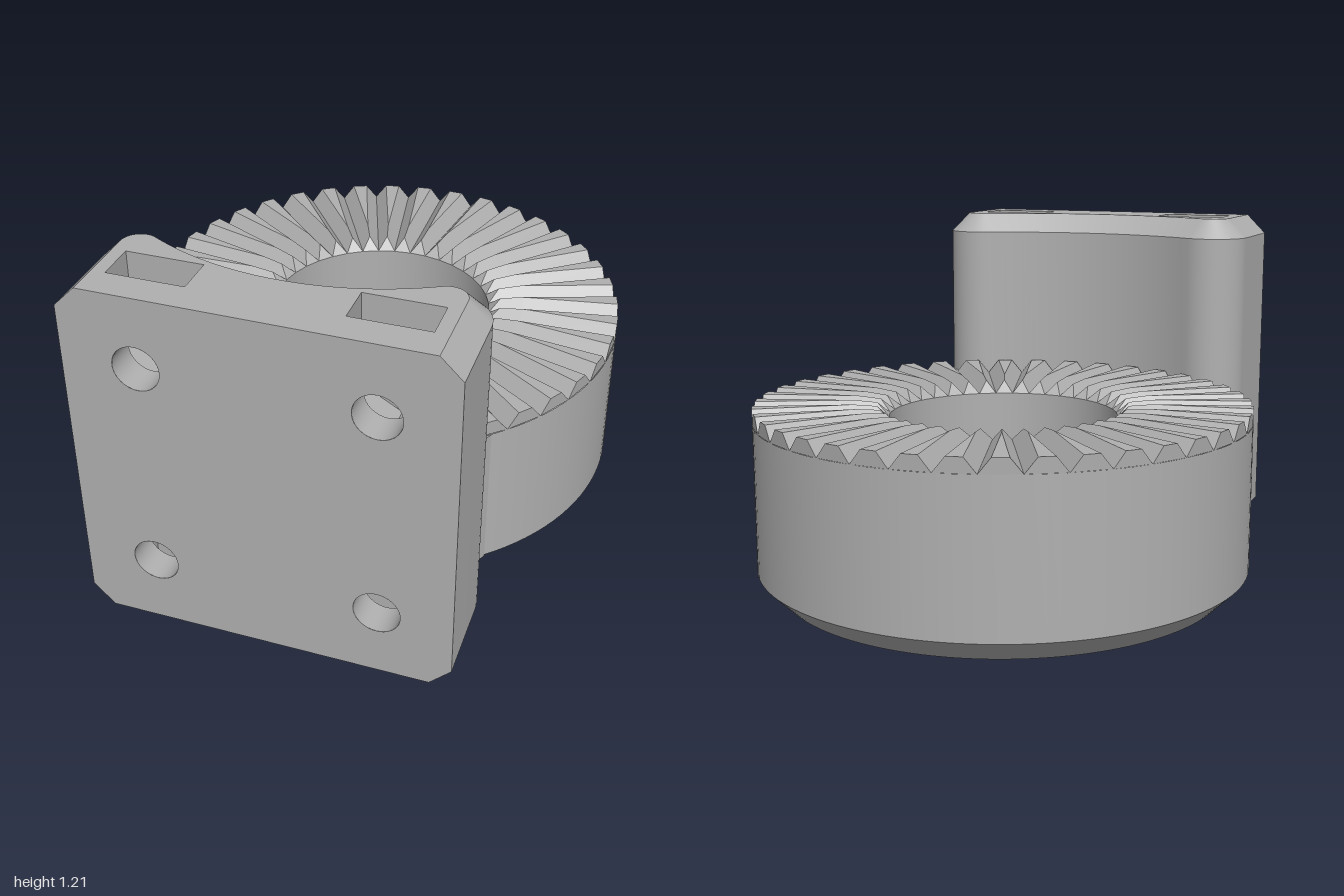
import * as THREE from 'three';

const RING_Z = -0.155, R_OUT = 0.845, R_IN = 0.39, R_BORE = 0.55;
const W = 0.605, H = 1.21, CH = 0.07, VALLEY = 0.58;

export function createModel() {
  const model = new THREE.Group();
  const grey = new THREE.MeshStandardMaterial({ color: 0xb0b0b0, side: THREE.DoubleSide });

  const add = (parent, name, geometry) => {
    const mesh = new THREE.Mesh(geometry, grey);
    mesh.name = name;
    parent.add(mesh);
    return mesh;
  };

  // Band between two rows of points
  const band = (a, b) => {
    const geo = new THREE.BufferGeometry().setFromPoints([...a, ...b]);
    const index = [], n = a.length;
    for (let i = 0; i < n - 1; i++) index.push(i, i + n, i + 1, i + 1, i + n, i + n + 1);
    geo.setIndex(index);
    geo.computeVertexNormals();
    return geo;
  };
  const atHeight = (pts, y) => pts.map(p => new THREE.Vector3(p.x, y, p.y));
  const flatCap = (shape, y) => new THREE.ShapeGeometry(shape, 32).rotateX(Math.PI / 2).translate(0, y, 0);
  const v2 = (x, y) => new THREE.Vector2(x, y);
  const circle = (x, y, r) => new THREE.Path().absarc(x, y, r, 0, Math.PI * 2, true);

  // Toothed ring
  const ring = new THREE.Group();
  ring.name = 'toothedRing';
  ring.position.z = RING_Z;
  model.add(ring);
  const turn = (name, r1, y1, r2, y2, start = 0, length = Math.PI * 2) =>
    add(ring, name, new THREE.LatheGeometry([v2(r1, y1), v2(r2, y2)],
      length > 6 ? 120 : 32, start, length));
  turn('ringBottom', R_BORE, 0, 0.77, 0);
  turn('ringChamfer', 0.77, 0, R_OUT, 0.075);
  turn('ringOuterWall', R_OUT, 0.075, R_OUT, VALLEY);
  turn('ringHole', R_IN, VALLEY, R_IN, 0.4);
  turn('slotRoof', R_IN, 0.4, R_BORE, 0.4);
  turn('counterbore', R_BORE, 0.4, R_BORE, 0);

  // Three tapered lugs leave three slots inside the bore
  const lugEnd = new THREE.Shape([v2(R_BORE, 0.07), v2(R_BORE, 0.4), v2(R_IN, 0.4), v2(R_IN, 0.23)]);
  const half = 0.19;
  for (let i = 0; i < 3; i++) {
    const start = Math.PI / 3 + i * Math.PI * 2 / 3 + half;
    const length = Math.PI * 2 / 3 - 2 * half;
    turn('lugTaper', R_IN, 0.23, R_BORE, 0.07, start, length);
    turn('lugWall', R_IN, 0.4, R_IN, 0.23, start, length);
    for (const phi of [start, start + length])
      add(ring, 'lugEnd', new THREE.ShapeGeometry(lugEnd).rotateY(phi - Math.PI / 2));
  }

  // Radial teeth: V grooves of constant width with tapering lands
  const TEETH = 40, pitch = Math.PI * 2 / TEETH, groove = 0.04, depth = 0.05;
  const tri = [];
  const polar = (r, phi, y) => new THREE.Vector3(r * Math.sin(phi), y, r * Math.cos(phi));
  const quad = (a, b, c, d) => tri.push(a, b, c, a, c, d);
  for (let i = 0; i < TEETH; i++) {
    const phi = Math.PI + 0.024 + i * pitch;
    const row = (rValley, r) => {
      const a = Math.min(groove / r, pitch / 2);
      const y = VALLEY + depth * a * r / groove;
      return [polar(rValley, phi, VALLEY), polar(r, phi + a, y),
        polar(r, phi + pitch - a, y), polar(rValley, phi + pitch, VALLEY)];
    };
    const rMid = groove / (pitch / 2);
    const rows = [row(R_IN, 0.43), row(rMid, rMid), row(R_OUT, R_OUT)];
    for (let k = 0; k < 2; k++)
      for (let j = 0; j < 3; j++)
        quad(rows[k][j], rows[k + 1][j], rows[k + 1][j + 1], rows[k][j + 1]);
    tri.push(rows[0][0], rows[0][1], rows[0][3]);
    quad(rows[2][0], rows[2][3], rows[2][2], rows[2][1]);
  }
  const teeth = new THREE.BufferGeometry().setFromPoints(tri);
  teeth.computeVertexNormals();
  add(ring, 'teeth', teeth);

  // Mounting block outline: rounded shoulders and a hollow back, inset by d
  const RHO = 0.13, R_BACK = 0.86, cx = W - RHO;
  const cz = RING_Z + Math.sqrt((R_BACK + RHO) ** 2 - cx * cx);
  const tangent = Math.atan2(cz - RING_Z, cx);
  const outline = d => {
    const pts = [v2(W - d, 1)];
    for (let i = 0; i <= 14; i++) {
      const t = i / 14 * (tangent - Math.PI);
      pts.push(v2(cx + (RHO - d) * Math.cos(t), cz + (RHO - d) * Math.sin(t)));
    }
    for (let i = 1; i <= 12; i++) {
      const t = tangent + (Math.PI / 2 - tangent) * i / 12;
      pts.push(v2((R_BACK + d) * Math.cos(t), RING_Z + (R_BACK + d) * Math.sin(t)));
    }
    return [...pts, ...pts.slice(0, -1).reverse().map(p => v2(-p.x, p.y))];
  };
  const block = new THREE.Group();
  block.name = 'mountingBlock';
  model.add(block);
  const full = outline(0), inset = outline(CH);
  add(block, 'blockWall', band(atHeight(full, CH), atHeight(full, H - CH)));
  add(block, 'blockTopChamfer', band(atHeight(full, H - CH), atHeight(inset, H)));
  add(block, 'blockBottomChamfer', band(atHeight(inset, 0), atHeight(full, CH)));

  // Caps with nut slot openings
  const Z1 = 0.765, Z2 = 0.895, BX = 0.365, NUT = 0.125;
  const cap = new THREE.Shape(inset);
  for (const s of [-1, 1]) {
    const a = s * BX - NUT, b = s * BX + NUT;
    cap.holes.push(new THREE.Path([v2(a, Z1), v2(b, Z1), v2(b, Z2), v2(a, Z2)]));
  }
  add(block, 'blockTop', flatCap(cap, H));
  add(block, 'blockBottom', flatCap(cap, 0));

  // Front face with four bolt holes
  const face = new THREE.Shape([v2(-W + CH, 0), v2(W - CH, 0), v2(W, CH), v2(W, H - CH),
    v2(W - CH, H), v2(-W + CH, H), v2(-W, H - CH), v2(-W, CH)]);
  for (const sx of [-1, 1]) for (const sy of [-1, 1])
    face.holes.push(circle(sx * BX, H / 2 + sy * BX, 0.075));
  add(block, 'blockFront', new THREE.ShapeGeometry(face, 32).translate(0, 0, 1));

  // Bolt holes and nut slots with pointed floors, mirrored to four corners
  const slotPts = [v2(BX - NUT, H / 2), v2(BX - NUT, BX - 0.072), v2(BX, BX - 0.144),
    v2(BX + NUT, BX - 0.072), v2(BX + NUT, H / 2)];
  const slotFace = new THREE.Shape(slotPts);
  slotFace.holes.push(circle(BX, BX, 0.075));
  const tube = (z1, z2) => new THREE.CylinderGeometry(0.075, 0.075, z2 - z1, 32, 1, true)
    .rotateX(Math.PI / 2).translate(BX, BX, (z1 + z2) / 2);
  for (const sx of [-1, 1]) for (const sy of [-1, 1]) {
    const corner = new THREE.Group();
    corner.name = 'boltAndNutSlot';
    corner.position.y = H / 2;
    corner.scale.set(sx, sy, 1);
    block.add(corner);
    add(corner, 'boltHole', tube(Z2, 1));
    add(corner, 'boltHoleTip', tube(0.7, Z1));
    add(corner, 'boltHoleEnd', new THREE.CircleGeometry(0.075, 32).translate(BX, BX, 0.7));
    for (const z of [Z1, Z2]) add(corner, 'slotFace', new THREE.ShapeGeometry(slotFace, 32).translate(0, 0, z));
    for (let i = 0; i < 4; i++) {
      const side = z => [slotPts[i], slotPts[i + 1]].map(p => new THREE.Vector3(p.x, p.y, z));
      add(corner, 'slotSide', band(side(Z1), side(Z2)));
    }
  }

  // Neck joining the ring to the block
  const neck = new THREE.Group();
  neck.name = 'neck';
  model.add(neck);
  const neckSide = [[0.57, 0.47], [0.55, 0.51], [0.54, 0.55], [0.55, 0.59], [0.565, 0.62], [0.54, 0.7]];
  const neckRow = (s, d) => neckSide.map(([x, z]) => v2(s * (x - d), z));
  for (const s of [-1, 1]) {
    add(neck, 'neckWall', band(atHeight(neckRow(s, 0), CH), atHeight(neckRow(s, 0), VALLEY - 0.002)));
    add(neck, 'neckChamfer', band(atHeight(neckRow(s, CH), 0), atHeight(neckRow(s, 0), CH)));
  }
  const neckCap = d => new THREE.Shape([...neckRow(1, d), v2(0, 0.78), ...neckRow(-1, d).reverse()]);
  add(neck, 'neckTop', flatCap(neckCap(0), VALLEY - 0.002));
  add(neck, 'neckBottom', flatCap(neckCap(CH), 0));

  return model;
}
